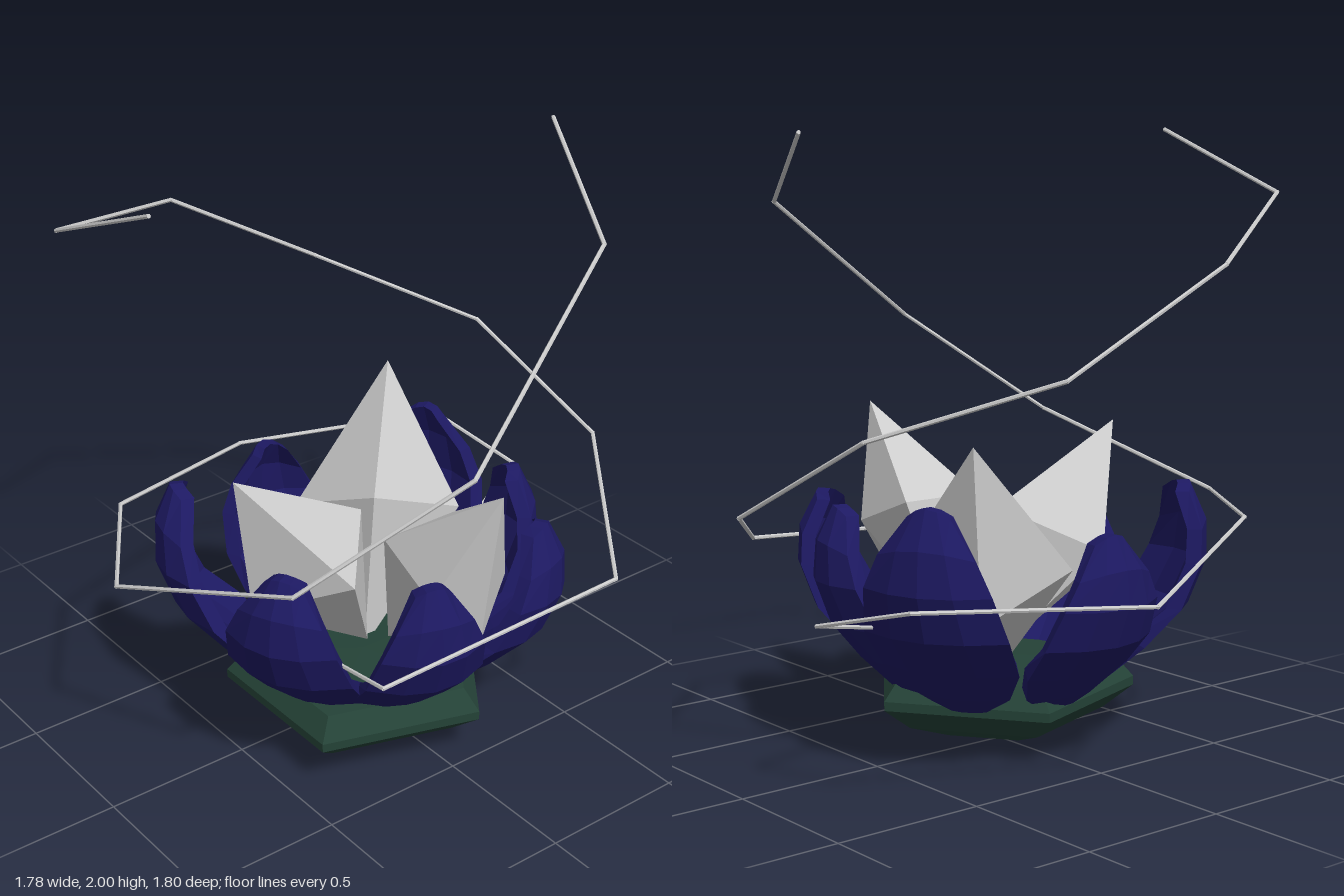
import * as THREE from 'three';
import { ConvexGeometry } from 'three/addons/geometries/ConvexGeometry.js';

const V = (p) => new THREE.Vector3(...p);
const mat = (color) => new THREE.MeshStandardMaterial({ color, flatShading: true });
const grey = mat(0xcccccc), blue = mat(0x1d1962), green = mat(0x244237);

// Cupped petal: closed cross-sections (outer skin, then inner skin) lofted upward.
// spread scales the radius, lean slides the tip sideways.
function petalGeometry(spread, width, height, lean) {
  const rows = [ // radius, y, half width
    [0.32, 0.17, 0.06], [0.38, 0.225, 0.14], [0.475, 0.32, 0.195], [0.57, 0.44, 0.205],
    [0.62, 0.58, 0.18], [0.612, 0.71, 0.135], [0.56, 0.82, 0.06],
  ];
  const us = [-1, -0.5, 0, 0.5, 1], n = us.length * 2;
  const pos = [], idx = [];
  rows.forEach(([r, y, w], i) => {
    const rise = (y - 0.17) / 0.65;
    const top = 0.17 + rise * (height - 0.17);
    const skin = (u, inner) => pos.push(
      u * w * width * (inner ? 0.88 : 1) + lean * rise,
      top - (i > 4 ? 0.03 * u * u : 0) + (inner && i < 3 ? 0.03 : 0),
      r * (1 + (spread - 1) * Math.min(1, i / 3)) - 0.43 * w * u * u - (inner ? 0.045 : 0));
    us.forEach((u) => skin(u, false));
    us.forEach((u) => skin(-u, true));
  });
  const quad = (a, b, c, d) => idx.push(a, b, c, a, c, d);
  for (let i = 0; i < rows.length - 1; i++) {
    for (let j = 0; j < n; j++) {
      const k = (j + 1) % n;
      quad(i * n + j, i * n + k, (i + 1) * n + k, (i + 1) * n + j);
    }
  }
  const t = (rows.length - 1) * n;
  for (let j = 0; j < us.length - 1; j++) {
    quad(t + j, t + j + 1, t + n - 2 - j, t + n - 1 - j);
    quad(n - 1 - j, n - 2 - j, j + 1, j);
  }
  const g = new THREE.BufferGeometry();
  g.setAttribute('position', new THREE.Float32BufferAttribute(pos, 3));
  g.setIndex(idx);
  g.computeVertexNormals();
  return g;
}

// Thin angular wire through a list of points
function wire(name, points) {
  const group = new THREE.Group();
  group.name = name;
  const r = 0.007;
  for (let i = 0; i < points.length - 1; i++) {
    const a = V(points[i]), b = V(points[i + 1]);
    const dir = b.clone().sub(a);
    const seg = new THREE.Mesh(new THREE.CylinderGeometry(r, r, dir.length() + r, 6), grey);
    seg.name = name + 'Segment';
    seg.position.copy(a).add(b).multiplyScalar(0.5);
    seg.quaternion.setFromUnitVectors(new THREE.Vector3(0, 1, 0), dir.normalize());
    group.add(seg);
  }
  return group;
}

export function createModel() {
  const model = new THREE.Group();
  model.name = 'crystalFlower';

  // Five-sided green cup under the petals, one corner towards the back
  const profile = [[0, 0], [0.2, 0.02], [0.36, 0.075], [0.462, 0.15], [0.462, 0.18], [0.4, 0.25], [0, 0.26]]
    .map(([x, y]) => new THREE.Vector2(x, y));
  const base = new THREE.Mesh(new THREE.LatheGeometry(profile, 5, Math.PI), green);
  base.name = 'base';
  base.position.set(0.07, 0, 0.042);
  model.add(base);

  // Ring of petals: angle from the front, spread, width, tip height, lean
  const petals = [
    [-23, 1.09, 1.06, 0.86, -0.13], [27, 1.1, 1.08, 0.82, 0.02],
    [74, 1.12, 0.98, 0.8, 0], [118, 1.12, 0.96, 0.81, 0.07],
    [162, 1.01, 0.98, 0.82, 0], [209, 1.08, 1.18, 0.87, 0], [269, 1.02, 1.05, 0.77, 0],
  ];
  petals.forEach(([deg, ...shape]) => {
    const petal = new THREE.Mesh(petalGeometry(...shape), blue);
    petal.name = 'petal';
    petal.rotation.y = THREE.MathUtils.degToRad(deg);
    model.add(petal);
  });

  // Leaning crystals: tip, waist corners, foot
  const crystals = {
    frontCrystal: [[0, 1.02, 0.5], [0.27, 0.66, 0.23], [0, 0.52, 0.44],
      [-0.23, 0.63, 0.25], [0.03, 0.77, 0.02], [0.04, 0.26, 0]],
    leftCrystal: [[0.645, 1.065, -0.05], [0.24, 0.78, -0.2], [0.24, 0.78, 0.09],
      [0.5, 0.68, 0.11], [0.51, 0.68, -0.19], [0.56, 0.5, -0.05],
      [0.14, 0.32, -0.08], [0.14, 0.32, -0.01]],
    backCrystal: [[-0.35, 1.05, -0.39], [0.01, 0.78, -0.05], [0.01, 0.62, -0.42],
      [-0.35, 0.62, 0.01], [-0.35, 0.49, -0.36], [0.01, 0.21, -0.01]],
  };
  for (const [name, points] of Object.entries(crystals)) {
    const crystal = new THREE.Mesh(new ConvexGeometry(points.map(V)), grey);
    crystal.name = name;
    model.add(crystal);
  }

  // Two wires spiralling up around the flower
  model.add(wire('frontSpiral', [
    [0.19, 0.47, 0.31], [0.24, 0.48, 0.38], [0.67, 0.585, 0.43], [0.695, 0.63, -0.505],
    [0.165, 0.82, -0.89], [-0.34, 1.1, -0.785], [-0.795, 1.29, -0.41], [-0.88, 1.6, 0.13],
    [-0.45, 1.79, 0.805], [0.07, 1.995, 0.797],
  ]));
  model.add(wire('backSpiral', [
    [-0.06, 0.46, -0.5], [-0.21, 0.55, -0.865], [-0.56, 0.64, -0.785], [-0.85, 0.61, -0.1],
    [-0.52, 0.745, 0.605], [-0.08, 0.75, 0.89], [0.605, 0.98, 0.71], [0.88, 1.335, 0.275],
    [0.58, 1.76, -0.475], [0.095, 1.98, -0.7],
  ]));
  return model;
}
